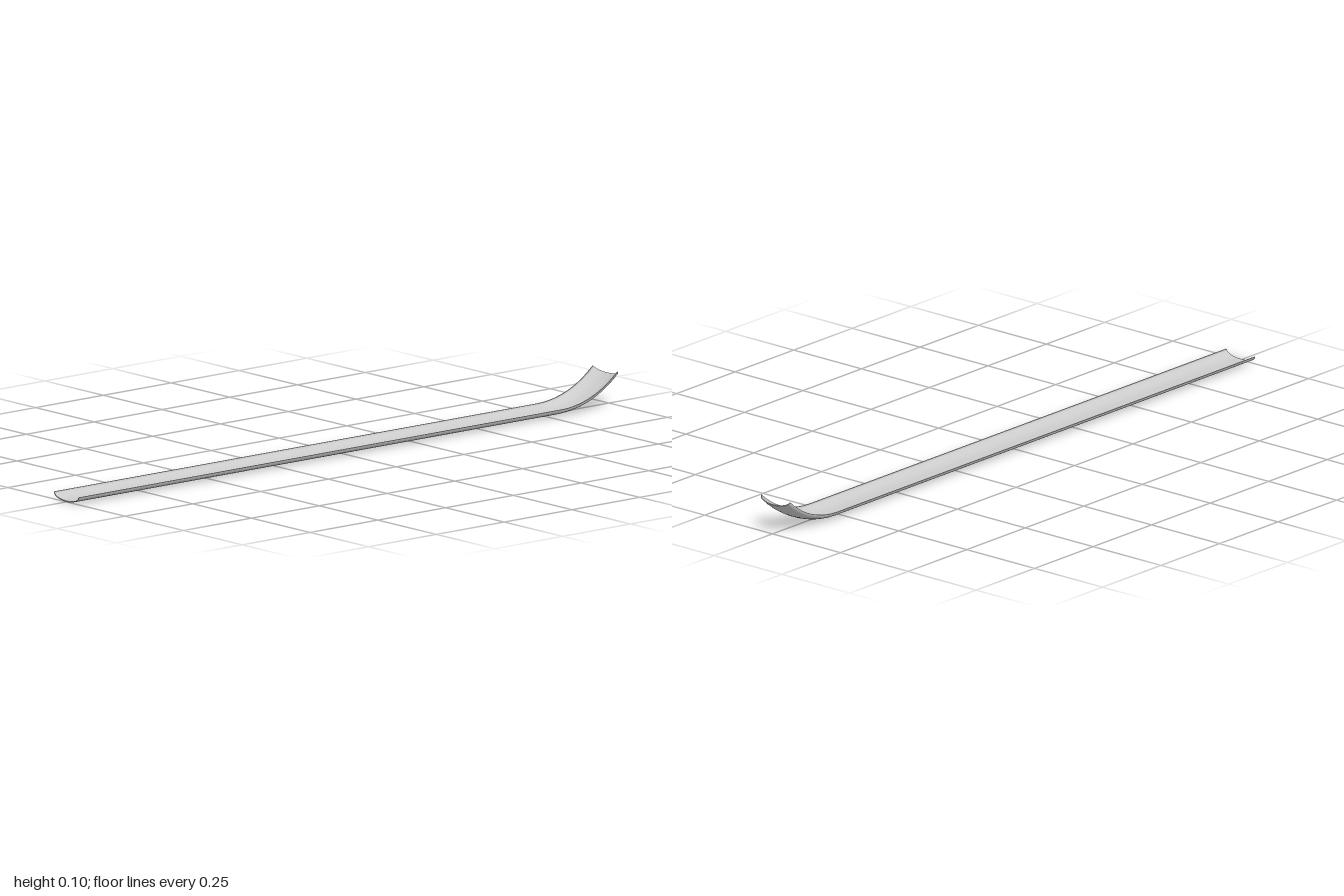
import * as THREE from 'three';
import { toCreasedNormals } from 'three/addons/utils/BufferGeometryUtils.js';

const HALF_WIDTH = 0.054, DEPTH = 0.021, WALL = 0.003;
const BEND_Z = -0.78, RADIUS = 0.3275, ANGLE = 0.7365;

// Thin trough cross-section: lower half of an ellipse with a constant wall
function troughShape(segments = 32) {
  const points = [];
  const addArc = (a, b, reverse) => {
    for (let i = 0; i <= segments; i++) {
      const t = Math.PI * (1 + (reverse ? segments - i : i) / segments);
      points.push(new THREE.Vector2(a * Math.cos(t), DEPTH + b * Math.sin(t)));
    }
  };
  addArc(HALF_WIDTH, DEPTH, false);
  addArc(HALF_WIDTH - WALL, DEPTH - WALL, true);
  return new THREE.Shape(points);
}

export function createModel() {
  const group = new THREE.Group();
  group.name = 'trough';

  const bendLength = RADIUS * ANGLE;
  const geometry = new THREE.ExtrudeGeometry(troughShape(), {
    depth: 1 - BEND_Z + bendLength, steps: 84, bevelEnabled: false,
  });
  geometry.translate(0, 0, BEND_Z - bendLength);

  // Curl the rear end upward along a circular arc
  const p = geometry.attributes.position;
  for (let i = 0; i < p.count; i++) {
    const along = BEND_Z - p.getZ(i);
    if (along <= 0) continue;
    const angle = along / RADIUS, r = RADIUS - p.getY(i);
    p.setY(i, RADIUS - r * Math.cos(angle));
    p.setZ(i, BEND_Z - r * Math.sin(angle));
  }

  const mesh = new THREE.Mesh(
    toCreasedNormals(geometry, 0.6),
    new THREE.MeshStandardMaterial({ color: 0xcccccc, side: THREE.DoubleSide }),
  );
  mesh.name = 'curvedTrough';
  group.add(mesh);
  return group;
}
